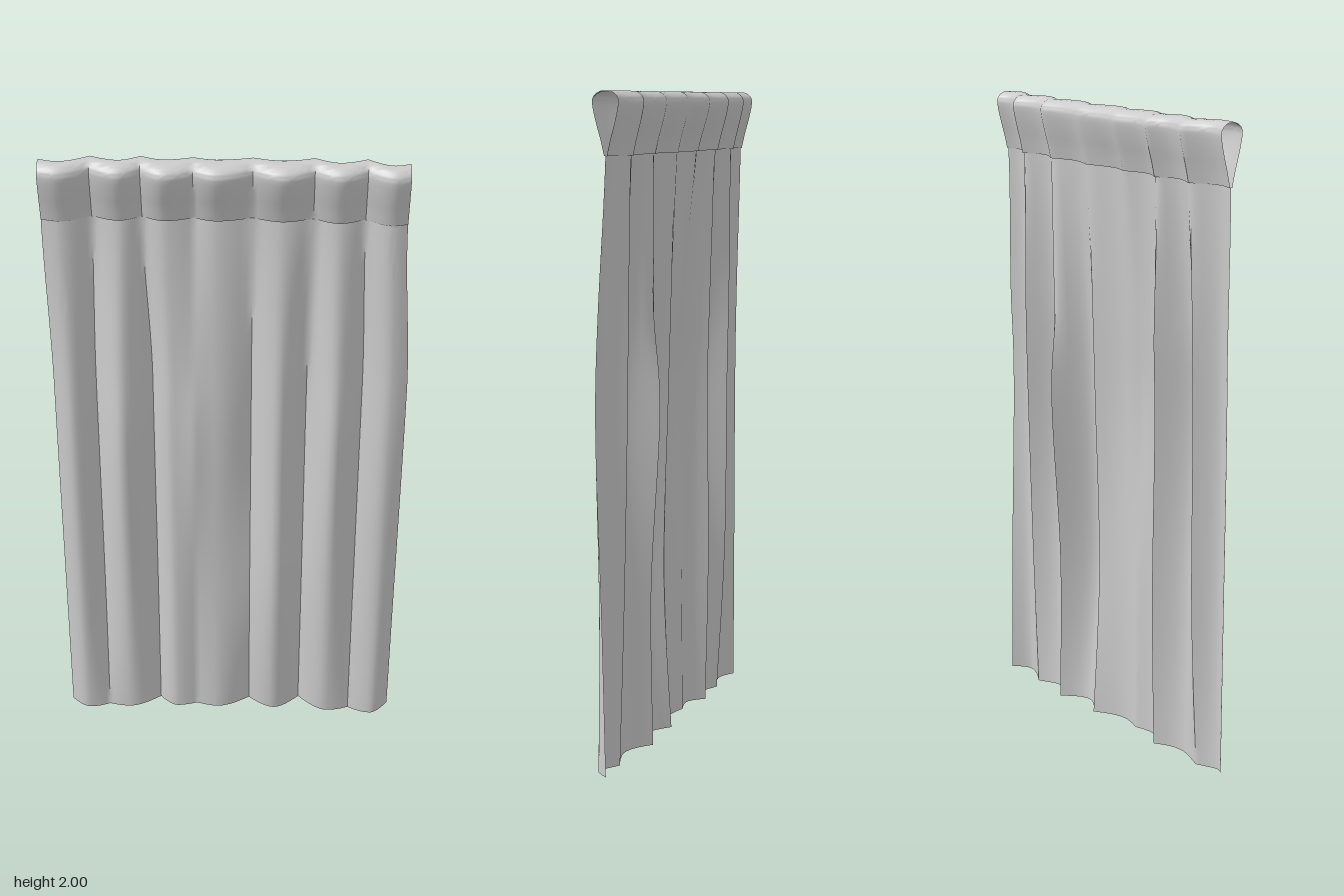
import * as THREE from 'three';
import { toCreasedNormals } from 'three/addons/utils/BufferGeometryUtils.js';

const cloth = new THREE.MeshStandardMaterial({ color: 0xcccccc, side: THREE.DoubleSide });
const SEAM = 1.82, ROWS = 32, STEPS = 6;

// Valleys and ridges in turn across the width:
// [x at the pocket, x where the cloth hangs free, pocket front z, pocket back z,
//  cloth z at y 1.05, at y 0.5, at the hem]
const folds = [
  [-0.54, -0.53, 0.028, -0.05, 0.0, 0.0, 0.0],
  [-0.485, -0.475, 0.042, -0.035, 0.035, 0.035, 0.035],
  [-0.395, -0.403, 0.0, -0.075, -0.02, -0.015, 0.012],
  [-0.315, -0.322, 0.036, -0.052, 0.073, 0.045, 0.03],
  [-0.25, -0.23, 0.0, -0.08, -0.02, -0.025, -0.015],
  [-0.185, -0.172, 0.041, -0.062, 0.03, 0.03, 0.03],
  [-0.1, -0.105, 0.01, -0.077, 0.038, 0.02, 0.015],
  [-0.035, -0.035, 0.039, -0.066, 0.03, 0.025, 0.03],
  [0.07, 0.07, 0.0, -0.077, -0.01, 0.005, -0.02],
  [0.155, 0.155, 0.038, -0.065, 0.056, 0.074, 0.03],
  [0.245, 0.238, 0.0, -0.08, -0.055, -0.025, -0.03],
  [0.318, 0.325, 0.036, -0.052, 0.055, 0.04, 0.03],
  [0.395, 0.407, 0.0, -0.075, -0.025, -0.012, 0.005],
  [0.47, 0.485, 0.042, -0.035, 0.035, 0.03, 0.038],
  [0.515, 0.54, 0.03, -0.05, 0.015, 0.0, -0.01],
];

// Rounded ridges, pointed valleys: even entries are valleys.
const columns = [];
for (let f = 0; f < folds.length - 1; f++) {
  for (let i = f ? 1 : 0; i <= STEPS; i++) {
    const t = i / STEPS;
    const round = f % 2 ? 1 - Math.sin((1 - t) * Math.PI / 2) : Math.sin(t * Math.PI / 2);
    const s = THREE.MathUtils.lerp(t, round, 0.85);
    const [x, hangX, front, back, mid, low, hem] = folds[f].map(
      (a, k) => THREE.MathUtils.lerp(a, folds[f + 1][k], k > 1 ? s : t));
    // depth of the cloth down its length, as a smooth curve of (y, z)
    const seam = (front + back) / 2;
    const top = Math.max(seam, -0.032);
    const high = Math.max(THREE.MathUtils.lerp(seam, mid, 0.65), -0.034);
    const fall = new THREE.SplineCurve([
      [0, hem], [0.5, low], [1.05, mid], [1.38, high], [SEAM, top],
    ].map(([y, z]) => new THREE.Vector2(y, z))).getPoints(ROWS);
    columns.push({ x, hangX, seam, half: (front - back) / 2, fall });
  }
}

// Surface through rows of points: point(column, row) gives [x, y, z].
function sheet(name, rows, point, crease) {
  const pos = [], index = [], n = columns.length;
  for (let r = 0; r < rows; r++) columns.forEach((c) => pos.push(...point(c, r)));
  for (let r = 0; r < rows - 1; r++) {
    for (let i = 0; i < n - 1; i++) {
      const a = r * n + i, b = a + 1, d = a + n, e = d + 1;
      index.push(a, b, e, a, e, d);
    }
  }
  const geo = new THREE.BufferGeometry();
  geo.setAttribute('position', new THREE.Float32BufferAttribute(pos, 3));
  geo.setIndex(index);
  const mesh = new THREE.Mesh(toCreasedNormals(geo, crease), cloth);
  mesh.name = name;
  return mesh;
}

// Hanging cloth, easing from the pocket's width to its own, with a dipping hem.
function panelPoint(c, r) {
  const { x: y, y: z } = c.fall[r];
  const free = THREE.MathUtils.smoothstep(SEAM - y, 0, 0.55);
  const x = THREE.MathUtils.lerp(c.x, c.hangX, free);
  const hem = 0.017 - 0.014 * Math.exp(-(((Math.abs(x) - 0.41) / 0.1) ** 2));
  return [x, y + hem * (1 - y / SEAM), z];
}

// Rod pocket: a teardrop loop (share of depth, height) swept along the folds.
const half = [[0.1, SEAM], [0.37, 1.865], [0.73, 1.915], [1, 1.965], [0.88, 1.985], [0.45, 1.998]];
const loop = new THREE.SplineCurve(
  [...half, [0, 2], ...half.map(([d, y]) => [-d, y]).reverse()]
    .map(([d, y]) => new THREE.Vector2(d, y)),
).getPoints(36);

function pocketPoint(c, r) {
  return [c.x, Math.min(loop[r].y, 2), c.seam + c.half * loop[r].x];
}

export function createModel() {
  const curtain = new THREE.Group();
  curtain.name = 'curtain';
  curtain.add(sheet('hangingPanel', ROWS + 1, panelPoint, 0.9));
  curtain.add(sheet('rodPocket', loop.length, pocketPoint, 1));
  return curtain;
}
